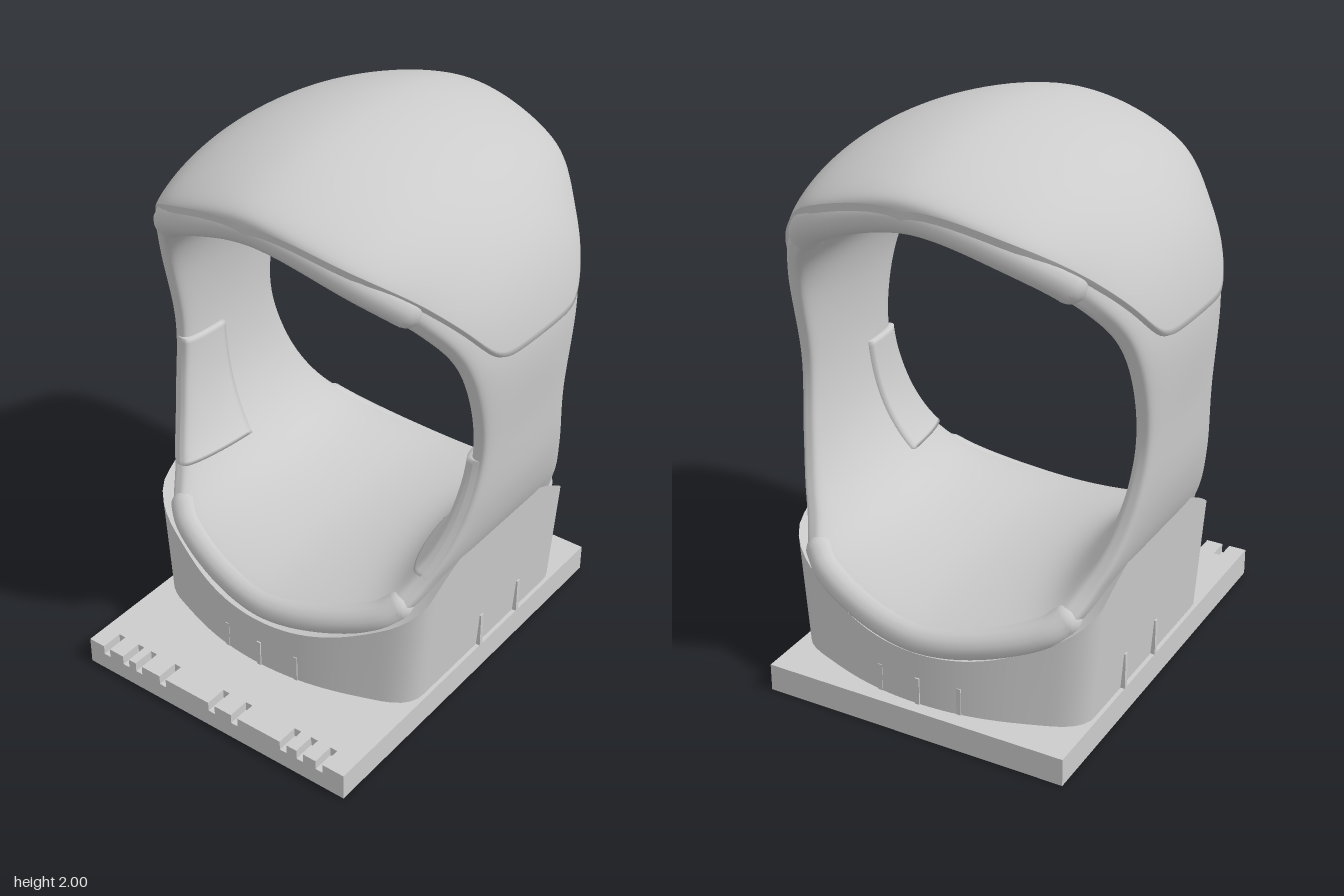
import * as THREE from 'three';
import { mergeVertices } from 'three/addons/utils/BufferGeometryUtils.js';

const CX = 0.115; // centre of the band in x
const mat = new THREE.MeshStandardMaterial({ color: 0xcccccc });
const thinMat = new THREE.MeshStandardMaterial({ color: 0xcccccc, side: THREE.DoubleSide });
const spow = (v, p) => Math.sign(v) * Math.abs(v) ** p;

// Smooth surface from f(a, b) with a, b in 0..1; outside is da x db
function surface(name, f, na, nb, material = mat) {
  const pos = [], idx = [];
  for (let j = 0; j <= nb; j++)
    for (let i = 0; i <= na; i++) pos.push(...f(i / na, j / nb));
  for (let j = 0; j < nb; j++)
    for (let i = 0; i < na; i++) {
      const p = j * (na + 1) + i, q = p + na + 1;
      idx.push(p, p + 1, q + 1, p, q + 1, q);
    }
  let g = new THREE.BufferGeometry();
  g.setAttribute('position', new THREE.Float32BufferAttribute(pos, 3));
  g.setIndex(idx);
  g = mergeVertices(g, 1e-5);
  g.computeVertexNormals();
  const m = new THREE.Mesh(g, material);
  m.name = name;
  return m;
}

// Band stations from top to bottom:
// outer z,y | inner z,y | rim z,y | half width | rim half thickness
const rows = [
  [0, 1.985, 0, 1.68, 0, 1.8, 0.605, 0.075],
  [0.345, 1.9, 0.28, 1.655, 0.34, 1.71, 0.56, 0.07],
  [0.58, 1.7, 0.47, 1.53, 0.52, 1.56, 0.42, 0.055],
  [0.682, 1.42, 0.555, 1.35, 0.61, 1.38, 0.31, 0.045],
  [0.672, 1.08, 0.58, 1.08, 0.625, 1.08, 0.24, 0.038],
  [0.65, 0.82, 0.54, 0.82, 0.6, 0.82, 0.285, 0.04],
  [0.575, 0.6, 0.43, 0.625, 0.53, 0.6, 0.385, 0.045],
  [0.42, 0.38, 0.27, 0.52, 0.4, 0.435, 0.52, 0.05],
  [0, 0.27, 0, 0.48, 0, 0.345, 0.605, 0.05],
];
const loop = [...rows, ...rows.slice(1, -1).reverse().map((r) => r.map((v, i) => (i < 6 && i % 2 === 0 ? -v : v)))];
const track = (pick) => new THREE.CatmullRomCurve3(loop.map((r) => new THREE.Vector3(...pick(r))), true, 'catmullrom', 0.5);
const outer = track((r) => [r[7], r[1], r[0]]); // x carries rim thickness
const inner = track((r) => [0, r[3], r[2]]);
const rim = track((r) => [r[6], r[5], r[4]]); // x carries half width

// Fraction of the half width reached at angle a of the cross-section, evenly spread
const sectionAngle = (a) => Math.atan2(spow(Math.sin(a), 2.2), spow(Math.cos(a), 2.2));
const across = (a) => spow(Math.cos(sectionAngle(a)), 0.4);

// Point on the band: t around the ring, a around its cross-section
function bandPoint(t, a, off = 0) {
  t = ((t % 1) + 1) % 1;
  const O = outer.getPoint(t), I = inner.getPoint(t), E = rim.getPoint(t);
  const u = across(a), v = spow(Math.sin(sectionAngle(a)), 0.45), k = u * u;
  const dy = O.y - I.y, dz = O.z - I.z, len = Math.hypot(dy, dz);
  const d = ((len / 2) * (1 - k) + O.x * k) * v + off;
  const my = ((O.y + I.y) / 2) * (1 - k) + E.y * k;
  const mz = ((O.z + I.z) / 2) * (1 - k) + E.z * k;
  return [CX + (E.x + Math.abs(off) * 0.6) * u, my + (dy / len) * d, mz + (dz / len) * d];
}

// Slab layer of the plate; its outline is drawn in x and -z
function plateLayer(name, y, h, notches, slots) {
  const s = new THREE.Shape();
  s.moveTo(-0.75, -0.56);
  s.lineTo(0.745, -0.56);
  s.lineTo(0.745, 0.56);
  s.lineTo(-0.75, 0.56);
  for (const z of notches) {
    s.lineTo(-0.75, -z + 0.014);
    s.lineTo(-0.67, -z + 0.014);
    s.lineTo(-0.67, -z - 0.014);
    s.lineTo(-0.75, -z - 0.014);
  }
  for (const z of slots) {
    const p = new THREE.Path();
    p.moveTo(-0.45, z - 0.02);
    p.lineTo(-0.45, z + 0.02);
    p.lineTo(0.45, z + 0.02);
    p.lineTo(0.45, z - 0.02);
    s.holes.push(p);
  }
  const g = new THREE.ExtrudeGeometry(s, { depth: h, bevelEnabled: false });
  g.rotateX(-Math.PI / 2);
  const m = new THREE.Mesh(g, mat);
  m.position.y = y;
  m.name = name;
  return m;
}

export function createModel() {
  const model = new THREE.Group();
  model.name = 'ringStand';

  // Base plate with underside slots and edge notches
  model.add(
    plateLayer('plateUnderside', 0, 0.012, [], [-0.42, 0.42]),
    plateLayer('plateMiddle', 0.012, 0.053, [], []),
    plateLayer('plateTop', 0.065, 0.035, [-0.48, -0.39, -0.33, -0.22, 0, 0.1, 0.31, 0.38, 0.46], []),
  );

  // Pedestal: flat front and back, bowed sides, saddle-shaped top
  const quarter = new THREE.Path();
  quarter.moveTo(0, 0.545);
  quarter.lineTo(0.39, 0.545);
  quarter.quadraticCurveTo(0.46, 0.545, 0.5, 0.44);
  quarter.bezierCurveTo(0.54, 0.33, 0.595, 0.2, 0.595, 0);
  const corner = quarter.getSpacedPoints(32);
  const ring = (a) => {
    const n = Math.round(a * 128) % 128, q = Math.floor(n / 32), i = n % 32;
    const p = corner[q % 2 ? 32 - i : i];
    return [q < 2 ? p.x : -p.x, q === 0 || q === 3 ? p.y : -p.y];
  };
  const saddle = (x, z) => 0.29 + 0.6 * z * z + 0.51 * (0.36 - x * x) - 1.05 * x * x * z * z;
  const taper = (y) => 1 + 0.14 * (y - 0.1);
  model.add(surface('pedestal', (a, b) => {
    const [x, z] = ring(a);
    const y = 0.09 + (saddle(x, z * 1.06) - 0.09) * b;
    return [CX - 0.01 + x, y, z * taper(y)];
  }, 128, 16));
  model.add(surface('pedestalTop', (a, b) => {
    const [x, z] = ring(a), k = 1 - b;
    const y = saddle(x * k, z * 1.06 * k) - 0.02 * Math.min(1, b * 8);
    return [CX - 0.01 + x * k, y, z * k * taper(saddle(x, z * 1.06))];
  }, 128, 16));

  // Short upright marks around the foot of the pedestal
  const mark = (x, z, w, h, d) => {
    const m = new THREE.Mesh(new THREE.BoxGeometry(w, h, d), mat);
    m.position.set(x, 0.1 + h / 2, z);
    m.name = 'pedestalMark';
    model.add(m);
  };
  for (const s of [-1, 1]) {
    for (const x of [0.055, 0.29]) mark(x, s * 0.551, 0.016, 0.135, 0.02);
    for (const z of [-0.15, 0, 0.15]) mark(CX - 0.01 + s * (z ? 0.577 : 0.59), z, 0.02, 0.1, 0.016);
  }

  // Ring band, wide above and below and narrow at the waist
  model.add(surface('ringBand', (a, b) => bandPoint(b, a * Math.PI * 2), 64, 160));

  // Domed cap over the crown, with a stepped border rounded at front and back
  model.add(surface('crownCap', (a, b) => {
    const angle = a * Math.PI, s = b * 2 - 1;
    const u = Math.min(1, Math.abs(across(angle)));
    const reach = 0.19 * Math.sqrt(1 - u ** 8);
    const edge = Math.abs(s) > 0.999;
    return bandPoint(THREE.MathUtils.clamp(s * 1.03, -1, 1) * reach, angle, edge ? -0.01 : 0.016);
  }, 80, 80, thinMat));

  // Rounded lips along the upper and lower rims
  for (const side of [-1, 1])
    for (const [name, mid, span, r] of [['upperLip', 0, 0.1, 0.06], ['lowerLip', 0.5, 0.083, 0.054]]) {
      const pts = [];
      for (let i = 0; i <= 12; i++) {
        const E = rim.getPoint((mid + span * (i / 6 - 1) + 1) % 1);
        pts.push(new THREE.Vector3(CX + side * (E.x - r + 0.006), E.y - 0.005, E.z));
      }
      const lip = new THREE.Group();
      lip.name = name;
      lip.add(new THREE.Mesh(new THREE.TubeGeometry(new THREE.CatmullRomCurve3(pts), 40, r, 14), mat));
      for (const p of [pts[0], pts[12]]) {
        const end = new THREE.Mesh(new THREE.SphereGeometry(r, 14, 10), mat);
        end.position.copy(p);
        lip.add(end);
      }
      model.add(lip);
    }

  // Thin pads on the inner walls, front and back, on the right side
  for (const dir of [1, -1])
    model.add(surface('innerPad', (a, b) => {
      const border = a === 0 || a === 1 || b === 0 || b === 1;
      const t = 0.262 + 0.113 * THREE.MathUtils.clamp(b * 1.06 - 0.03, 0, 1);
      const angle = Math.PI * (0.96 + 0.47 * THREE.MathUtils.clamp(a * 1.06 - 0.03, 0, 1));
      return bandPoint(dir * t, angle, border ? 0.005 : -0.015);
    }, 32, 32, thinMat));

  return model;
}
